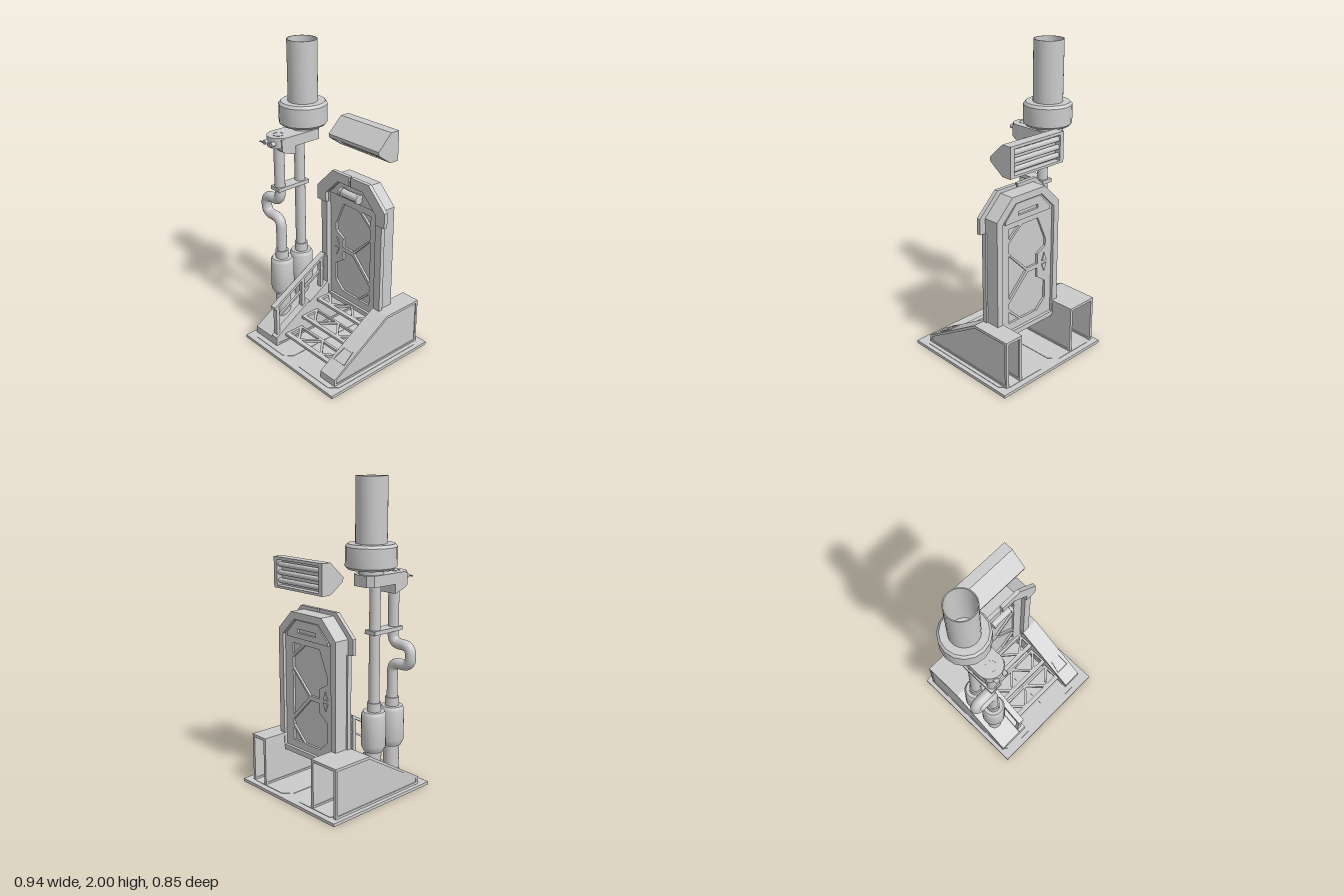
import * as THREE from 'three';
import { toCreasedNormals } from 'three/addons/utils/BufferGeometryUtils.js';

const mat = new THREE.MeshStandardMaterial({ color: 0xcccccc, side: THREE.DoubleSide });
const V = (x, y, z) => new THREE.Vector3(x, y, z);

export function createModel() {
  const root = new THREE.Group();
  const add = (name, geo, parent = root) => {
    const m = new THREE.Mesh(geo, mat);
    m.name = name;
    parent.add(m);
    return m;
  };
  const group = (name) => {
    const g = new THREE.Group();
    g.name = name;
    root.add(g);
    return g;
  };
  const shape = (pts, holes = []) => {
    const s = new THREE.Shape(pts.map((p) => new THREE.Vector2(...p)));
    holes.forEach((h) => s.holes.push(new THREE.Path(h.map((p) => new THREE.Vector2(...p)))));
    return s;
  };
  const extrude = (pts, depth, holes) =>
    new THREE.ExtrudeGeometry(shape(pts, holes), { depth, bevelEnabled: false });
  // Outline in (x, y), from z0 to z1
  const facing = (pts, z0, z1, holes) => extrude(pts, z1 - z0, holes).translate(0, 0, z0);
  // Outline in (z, y), from x0 to x1
  const sideways = (pts, x0, x1, holes) =>
    extrude(pts, x1 - x0, holes).rotateY(-Math.PI / 2).translate(x1, 0, 0);
  // Outline in (x, z), from y0 to y1
  const flat = (pts, y0, y1, holes = []) => {
    const flip = (a) => a.map(([x, z]) => [x, -z]);
    return extrude(flip(pts), y1 - y0, holes.map(flip)).rotateX(-Math.PI / 2).translate(0, y0, 0);
  };
  const box = (x0, x1, y0, y1, z0, z1) =>
    new THREE.BoxGeometry(x1 - x0, y1 - y0, z1 - z0).translate((x0 + x1) / 2, (y0 + y1) / 2, (z0 + z1) / 2);
  const lathe = (pts, x, z, n = 24) =>
    toCreasedNormals(new THREE.LatheGeometry(pts.map((p) => new THREE.Vector2(...p)), n), 0.5).translate(x, 0, z);
  const rod = (r, x0, x1, y, z) =>
    toCreasedNormals(new THREE.CylinderGeometry(r, r, x1 - x0, 16), 0.6)
      .rotateZ(Math.PI / 2).translate((x0 + x1) / 2, y, z);

  // Ground plate with two chamfered raised panels
  const base = group('base');
  add('basePlate', box(-0.405, 0.47, 0, 0.02, -0.427, 0.422), base);
  const panel = (x0, x1, c0, c1) => flat([
    [x0 + c0, -0.39], [x1 - c1, -0.39], [x1, -0.39 + c1], [x1, 0.385 - c1],
    [x1 - c1, 0.385], [x0 + c0, 0.385], [x0, 0.385 - c0], [x0, -0.39 + c0]], 0.018, 0.023);
  add('floorPanelRight', panel(-0.378, 0, 0.05, 0.05), base);
  add('floorPanelLeft', panel(0.065, 0.44, 0.05, 0.05), base);

  // Hollow sloping side blocks, open at the back, with framed recessed sides
  const outer = [[0.35, 0.02], [0.35, 0.07], [-0.1, 0.34], [-0.385, 0.34], [-0.385, 0.02]];
  const inner = [[0.333, 0.035], [0.333, 0.062], [-0.105, 0.322], [-0.37, 0.322], [-0.37, 0.035]];
  const sideBlock = (name, x0, x1) => {
    const g = group(name);
    add('slopeCover', sideways([outer[0], outer[1], outer[2], outer[3],
      [-0.385, 0.322], inner[2], inner[1], [0.333, 0.02]], x0, x1), g);
    for (const x of [x0, x1 - 0.02]) {
      add('sideFrame', sideways(outer, x, x + 0.02, [inner]), g);
      add('sidePanel', sideways(outer, x + 0.006, x + 0.014), g);
    }
  };
  sideBlock('rightSideBlock', -0.378, -0.158);
  sideBlock('leftSideBlock', 0.283, 0.415);

  // Small raised hatch on the left slope
  const hatch = add('slopeHatch', flat([[-0.051, 0.05], [0.051, 0.05], [0.039, -0.05], [-0.039, -0.05]],
    -0.002, 0.006, [[[-0.043, 0.043], [0.043, 0.043], [0.034, -0.043], [-0.034, -0.043]]]));
  hatch.rotation.x = Math.atan(0.6);
  hatch.position.set(0.349, 0.152, 0.213);

  // Truss treads
  const steps = group('steps');
  const tread = (y, z0, z1, h0, h1) => {
    const c = 0.065, tri = (x, up) => up
      ? [[x - 0.09, h1], [x + 0.09, h1], [x, h0 + 0.004]]
      : [[x - 0.09, h0], [x + 0.09, h0], [x, h1 - 0.004]];
    const holes = [tri(c, true), tri(c - 0.11, false), tri(c + 0.11, false)];
    for (const s of [-1, 1]) holes.push([[c + s * 0.205, h1], [c + s * 0.13, h1], [c + s * 0.205, h0 + 0.02]]);
    add('tread', flat([[-0.158, z0], [0.283, z0], [0.283, z1], [-0.158, z1]], y - 0.018, y, holes), steps);
  };
  tread(0.088, 0.132, 0.275, 0.148, 0.243);
  tread(0.165, -0.005, 0.132, 0.008, 0.105);
  tread(0.245, -0.22, -0.005, -0.115, -0.034);

  // Handrail following the right slope
  const rail = group('handrail');
  add('railFoot', sideways([[0.35, 0.07], [0.35, 0.085], [0.06, 0.259], [0.06, 0.24]], -0.212, -0.158), rail);
  const bar = (name, y0, y1, t, x0, x1, z0, z1) =>
    add(name, sideways([[z0, y0 - t], [z0, y0], [z1, y1], [z1, y1 - t]], x0, x1), rail);
  bar('topRail', 0.31, 0.56, 0.02, -0.212, -0.17, 0.345, -0.09);
  bar('midRail', 0.225, 0.455, 0.014, -0.2, -0.182, 0.31, -0.09);
  for (const [z, y0, y1] of [[0.32, 0.08, 0.315], [0.1, 0.21, 0.44], [-0.065, 0.3, 0.535]])
    add('railPost', box(-0.207, -0.175, y0, y1, z - 0.012, z + 0.012), rail);

  // Door frame: deep arch, front jamb strips, chamfered head plate
  const door = group('doorway');
  const cx = 0.064;
  const arch = (w, y0, yc, y1, c) => [[cx - w, y0], [cx + w, y0], [cx + w, yc], [cx + w - c, y1], [cx - w + c, y1], [cx - w, yc]];
  add('frame', facing(arch(0.264, 0.24, 1.04, 1.165, 0.125), -0.22, -0.115,
    [arch(0.222, 0.26, 1.01, 1.12, 0.11)]), door);
  for (const s of [-1, 1]) {
    const a = cx + s * 0.222, b = cx + s * 0.276;
    add('jamb', box(Math.min(a, b), Math.max(a, b), 0.34, 0.945, -0.13, -0.1), door);
    // Half of the head plate, leaving a narrow notch in the middle
    const half = [[0.306, 0.945], [0.306, 1.045], [0.163, 1.187], [0.007, 1.187], [0.007, 1.125],
      [0.112, 1.125], [0.226, 1.012], [0.226, 0.945]].map(([x, y]) => [cx + s * x, y]);
    add('headPlate', facing(half, -0.118, -0.092), door);
  }
  add('transom', facing(arch(0.224, 1.012, 1.015, 1.126, 0.11), -0.2, -0.122), door);
  add('headBridge', box(cx - 0.01, cx + 0.01, 1.12, 1.16, -0.118, -0.1), door);
  // Back transom trim with a slot
  add('backTransom', facing(arch(0.19, 1.0, 1.02, 1.115, 0.09), -0.215, -0.198,
    [[[-0.02, 1.035], [0.148, 1.035], [0.148, 1.06], [-0.02, 1.06]]]), door);

  // Door leaf with cut-out cover plates on both sides
  const cuts = [
    [[-0.105, 0.8], [-0.035, 0.96], [0.1, 0.96], [0.215, 0.865], [0.215, 0.8], [0.055, 0.645], [-0.035, 0.645], [-0.035, 0.71], [-0.105, 0.75]],
    [[0.215, 0.785], [0.065, 0.632], [0.215, 0.48]],
    [[-0.035, 0.615], [0.05, 0.615], [0.215, 0.45], [0.215, 0.415], [0.105, 0.31], [-0.035, 0.31], [-0.105, 0.375], [-0.105, 0.5], [-0.035, 0.55]],
    [[0.125, 0.96], [0.215, 0.96], [0.215, 0.885]],
    [[0.125, 0.31], [0.215, 0.31], [0.215, 0.395]],
  ];
  const leaf = [[-0.16, 0.24], [0.287, 0.24], [0.287, 1.015], [-0.16, 1.015]];
  add('doorCore', facing(leaf, -0.185, -0.147), door);
  add('doorFront', facing(leaf, -0.148, -0.132, cuts), door);
  add('doorBack', facing(leaf, -0.2, -0.184, cuts), door);
  for (const s of [-1, 1]) for (const z of [-0.134, -0.206])
    add('doorHandle', facing([[-0.113, 0.64 + s * 0.01], [-0.071, 0.64 + s * 0.01], [-0.092, 0.64 + s * 0.065]], z, z + 0.008), door);
  // Lamp tube over the door
  add('lampTube', rod(0.026, -0.005, 0.13, 1.063, -0.098), door);
  for (const x of [-0.02, 0.128]) add('lampCap', rod(0.032, x, x + 0.018, 1.063, -0.098), door);

  // Pipes with tanks
  const px = -0.295, pipes = group('pipes');
  const tank = [[0, 0.15], [0.05, 0.15], [0.05, 0.325], [0.06, 0.325], [0.077, 0.36], [0.077, 0.565],
    [0.066, 0.585], [0.043, 0.585], [0.043, 0.64], [0.03, 0.64]];
  for (const z of [0.177, 0.013]) add('tank', lathe(tank, px, z), pipes);
  add('straightPipe', lathe([[0.034, 0.63], [0.034, 1.44]], px, 0.013, 20), pipes);
  const path = new THREE.CurvePath();
  const pts = [[px, 0.63], [px, 0.863], [-0.441, 0.863], [-0.441, 0.988], [px, 0.988], [px, 1.44]]
    .map(([x, y]) => V(x, y, 0.177));
  let last = pts[0];
  for (let i = 1; i < pts.length - 1; i++) {
    const a = pts[i].clone().add(pts[i - 1].clone().sub(pts[i]).setLength(0.06));
    const b = pts[i].clone().add(pts[i + 1].clone().sub(pts[i]).setLength(0.06));
    path.add(new THREE.LineCurve3(last, a));
    path.add(new THREE.QuadraticBezierCurve3(a, pts[i], b));
    last = b;
  }
  path.add(new THREE.LineCurve3(last, pts[5]));
  add('bentPipe', new THREE.TubeGeometry(path, 120, 0.034, 18), pipes);
  add('pipeClamp', box(-0.338, -0.254, 1.07, 1.095, -0.03, 0.216), pipes);

  // Rounded manifold carrying the chimney, with two valves
  const head = group('manifold');
  const plan = [];
  for (let i = 0; i <= 12; i++) {
    const a = (i / 12) * Math.PI;
    plan.push([px + 0.083 * Math.cos(a), 0.165 + 0.083 * Math.sin(a)]);
  }
  plan.push([px - 0.083, -0.08], [px - 0.05, -0.112], [px + 0.05, -0.112], [px + 0.083, -0.08]);
  add('manifoldBody', flat(plan, 1.37, 1.438), head);
  add('manifoldDrop', sideways([[0.21, 1.43], [0.21, 1.355], [0.19, 1.34], [0.105, 1.312], [0.105, 1.43]], px - 0.078, px + 0.078), head);
  for (const x of [-0.325, -0.262]) {
    const v = add('valve', new THREE.CylinderGeometry(0.015, 0.015, 0.06, 14), head);
    v.rotation.x = Math.PI / 2;
    v.position.set(x, 1.4, 0.235);
  }
  add('valveLever', box(-0.362, -0.32, 1.396, 1.404, 0.264, 0.272), head);

  // Chimney, open at the top
  const stack = group('chimney');
  add('collar', lathe([[0, 1.43], [0.075, 1.43], [0.075, 1.468], [0.14, 1.468], [0.154, 1.483], [0.154, 1.6],
    [0.14, 1.617], [0.09, 1.617]], px, -0.023, 16), stack);
  add('stackTube', lathe([[0.094, 1.6], [0.094, 2], [0.088, 2], [0.088, 1.6], [0, 1.6]], px, -0.023, 32), stack);

  // Floating canopy lamp: cheeks, sloping hood and tubes
  const hood = group('canopyLamp');
  const cheek = [[-0.115, 1.41], [-0.22, 1.508], [-0.285, 1.508], [-0.285, 1.315], [-0.22, 1.315], [-0.12, 1.385]];
  for (const x of [-0.158, 0.253]) add('cheek', sideways(cheek, x, x + 0.03), hood);
  add('hoodCover', sideways([[-0.12, 1.385], [-0.115, 1.41], [-0.22, 1.508], [-0.285, 1.508], [-0.285, 1.49],
    [-0.228, 1.49], [-0.14, 1.405]], -0.158, 0.283), hood);
  add('hoodFloor', box(-0.158, 0.283, 1.315, 1.33, -0.285, -0.22), hood);
  add('hoodCore', box(-0.13, 0.255, 1.33, 1.49, -0.245, -0.225), hood);
  for (let i = 0; i < 3; i++) {
    add('frontTube', rod(0.011, -0.13, 0.255, 1.344 + i * 0.024, -0.208 + i * 0.02), hood);
    add('backTube', rod(0.016, -0.13, 0.255, 1.36 + i * 0.05, -0.262), hood);
  }
  return root;
}
